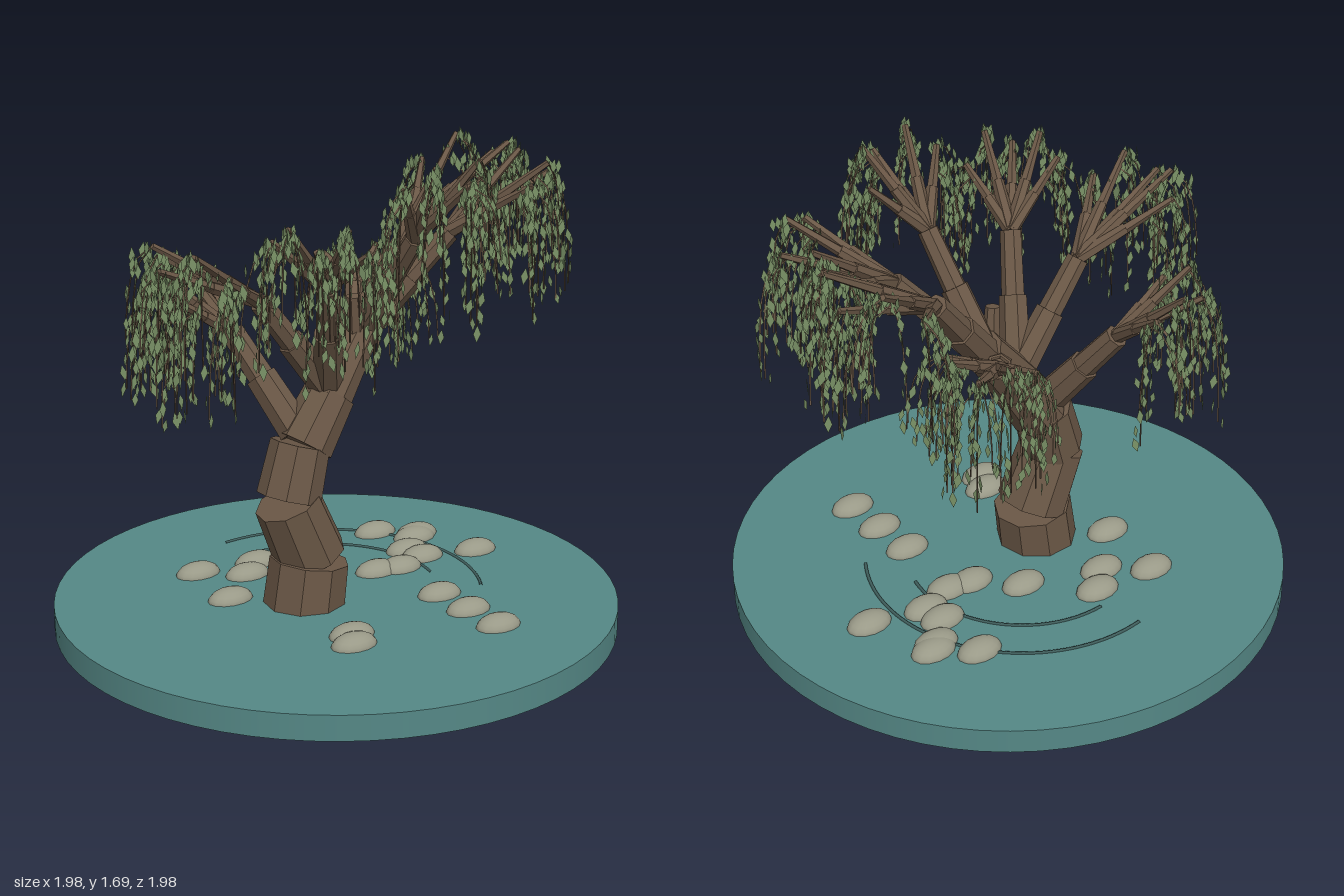
import * as THREE from 'three';
import { mergeGeometries } from 'three/addons/utils/BufferGeometryUtils.js';

const V = (x, y, z) => new THREE.Vector3(x, y, z);
const UP = V(0, 1, 0);

let seed = 7;
const rand = (a, b) => {
  seed = (seed * 16807) % 2147483647;
  return a + (b - a) * (seed / 2147483647);
};

// Tapered cylinder running from point a to point b
function rod(a, b, ra, rb, sides) {
  const d = b.clone().sub(a);
  const g = new THREE.CylinderGeometry(rb, ra, d.length(), sides);
  g.applyQuaternion(new THREE.Quaternion().setFromUnitVectors(UP, d.normalize()));
  const m = a.clone().lerp(b, 0.5);
  return g.translate(m.x, m.y, m.z);
}

// Flat upright diamond leaf
function leaf(p, yaw, tilt, s) {
  const g = new THREE.CircleGeometry(0.029 * s, 4);
  return g.scale(0.42, 1, 1).rotateZ(tilt).rotateY(yaw).translate(p.x, p.y, p.z);
}

// Limb tips fan out from the bend: turn, reach and rise of each fork
const forkTurn = (i) => (i - 2) / 2;
const forkReach = (i) => 1 - 0.2 * Math.abs(forkTurn(i));
const forkRise = (i) => (i % 2 ? 0.98 : 0.75) - (i === 4 ? 0.12 : 0);

// Twigs hang from the forks in curved strands lined with leaves
function growLimb(start, bend, lead, radius, spread) {
  const wood = [], leaves = [];
  const middle = start.clone().lerp(bend, 0.55);
  wood.push(rod(start, middle, radius, radius * 0.9, 7), rod(middle, bend, radius * 0.75, radius * 0.68, 7));
  const reach = lead.clone().sub(bend);
  for (let i = 0; i < 5; i++) {
    const out = V(reach.x, 0, reach.z).applyAxisAngle(UP, forkTurn(i) * spread).multiplyScalar(forkReach(i));
    const tip = bend.clone().add(out).addScaledVector(UP, reach.y * forkRise(i));
    const knee = bend.clone().lerp(tip, 0.5);
    wood.push(rod(bend, knee, 0.026, 0.021, 6), rod(knee, tip, 0.018, 0.011, 5));
    out.normalize();
    for (let s = 0; s < 6; s++) {
      const p = knee.clone().lerp(tip, s < 2 ? 1 : rand(0.35, 1));
      const side = out.clone().applyAxisAngle(UP, rand(-1.1, 1.1)).multiplyScalar(rand(0.04, 0.11));
      const drop = rand(0.24, 0.44);
      const strand = new THREE.QuadraticBezierCurve3(
        p,
        p.clone().add(side).addScaledVector(UP, -0.02),
        p.clone().addScaledVector(side, 1.1).addScaledVector(UP, -drop));
      wood.push(new THREE.TubeGeometry(strand, 5, 0.003, 3));
      const count = Math.round(drop / 0.032);
      for (let k = 1; k <= count; k++) {
        const q = strand.getPoint(k / count).add(V(rand(-0.018, 0.018), 0, rand(-0.018, 0.018)));
        leaves.push(leaf(q, rand(0, 6.28), rand(-0.3, 0.3), rand(0.8, 1.15)));
      }
    }
  }
  return [mergeGeometries(wood), mergeGeometries(leaves)];
}

export function createModel() {
  seed = 7;
  const group = new THREE.Group();
  const material = (name, color, opts = {}) => {
    const m = new THREE.MeshStandardMaterial({ color, ...opts });
    m.name = name;
    return m;
  };
  const bark = material('bark', 0x6a5746, { flatShading: true });
  const foliage = material('leafGreen', 0x7c9468, { side: THREE.DoubleSide });
  const water = material('teal', 0x558886);
  const stone = material('stone', 0x9a9a88);
  const rippleDark = material('rippleDark', 0x41605e);
  const add = (name, geo, mat) => {
    const mesh = new THREE.Mesh(geo, mat);
    mesh.name = name;
    group.add(mesh);
    return mesh;
  };

  // Round base
  add('base', new THREE.CylinderGeometry(0.99, 0.99, 0.09, 64), water).position.set(-0.007, 0.045, 0);

  // Ripples on the base
  const ripple = (radius, from, to) => {
    const g = new THREE.TorusGeometry(radius, 0.006, 5, 40, to - from);
    g.rotateX(Math.PI / 2).rotateY(-from);
    add('ripple', g, rippleDark).position.set(-0.02, 0.091, -0.06);
  };
  ripple(0.56, -1.68, 0.59);
  ripple(0.41, -1.61, 0.28);

  // Stones, set in small loose rows: first stone, step to the next, count
  const pebble = new THREE.SphereGeometry(1, 14, 10).scale(0.086, 0.045, 0.06);
  const stoneRow = (x, z, dx, dz, count) => {
    for (let i = 0; i < count; i++) {
      add('stone', pebble, stone).position.set(x + dx * i, 0.088, z + dz * i);
    }
  };
  stoneRow(-0.09, -0.39, -0.09, 0.08, 2);
  stoneRow(-0.35, -0.155, 0.03, -0.265, 2);
  stoneRow(0.09, -0.2, 0.13, 0.13, 2);
  stoneRow(0.31, -0.05, 0.13, -0.04, 2);
  stoneRow(0.43, -0.17, 0.1, -0.09, 2);
  stoneRow(0.44, -0.385, 0.12, 0.1, 2);
  stoneRow(0.64, -0.03, 0, 0, 1);
  stoneRow(0.275, 0.23, 0, 0.165, 3);
  stoneRow(-0.18, 0.34, -0.04, 0.07, 2);

  // Trunk of stacked, tilted blocks and a broken stub
  const block = (a, b, ra, rb) => add('trunkBlock', rod(a, b, ra, rb, 9), bark);
  block(V(-0.145, 0.06, 0), V(-0.12, 0.24, 0), 0.145, 0.14);
  block(V(-0.11, 0.25, -0.01), V(-0.2, 0.465, -0.015), 0.128, 0.118);
  block(V(-0.19, 0.476, -0.02), V(-0.135, 0.66, -0.03), 0.115, 0.106);
  block(V(-0.12, 0.65, -0.03), V(-0.005, 0.815, -0.04), 0.104, 0.092);
  block(V(-0.02, 0.8, -0.04), V(0.17, 1.04, -0.08), 0.09, 0.07);
  add('stub', rod(V(0.11, 0.97, -0.05), V(0.085, 1.15, -0.03), 0.035, 0.025, 7), bark);

  // Limbs: start, bend, leading tip, radius, spread of the forks
  const limb = (name, ...shape) => {
    const [wood, leaves] = growLimb(...shape);
    add(name, wood, bark);
    add(name + 'Leaves', leaves, foliage);
  };
  const crown = V(0.15, 1, -0.08), fork = V(-0.02, 0.84, -0.03);
  limb('leftBackLimb', crown, V(0.42, 1.33, -0.15), V(0.86, 1.59, -0.25), 0.062, 0.6);
  limb('leftFrontLimb', crown, V(0.44, 1.34, 0.04), V(0.8, 1.59, 0.14), 0.056, 0.75);
  limb('frontLimb', crown, V(0.18, 1.38, 0.19), V(0.22, 1.67, 0.43), 0.054, 1);
  limb('backLimb', V(0.08, 0.93, -0.06), V(0.27, 1.1, -0.28), V(0.47, 1.23, -0.43), 0.05, 0.9);
  limb('rightLimb', fork, V(-0.3, 1.19, -0.02), V(-0.72, 1.43, 0.04), 0.056, 0.55);
  limb('rightFrontLimb', fork, V(-0.17, 1.26, 0.18), V(-0.36, 1.52, 0.4), 0.055, 0.75);
  limb('rightBackLimb', V(-0.14, 0.7, -0.05), V(-0.25, 1.02, -0.28), V(-0.44, 1.25, -0.49), 0.062, 0.9);
  return group;
}
